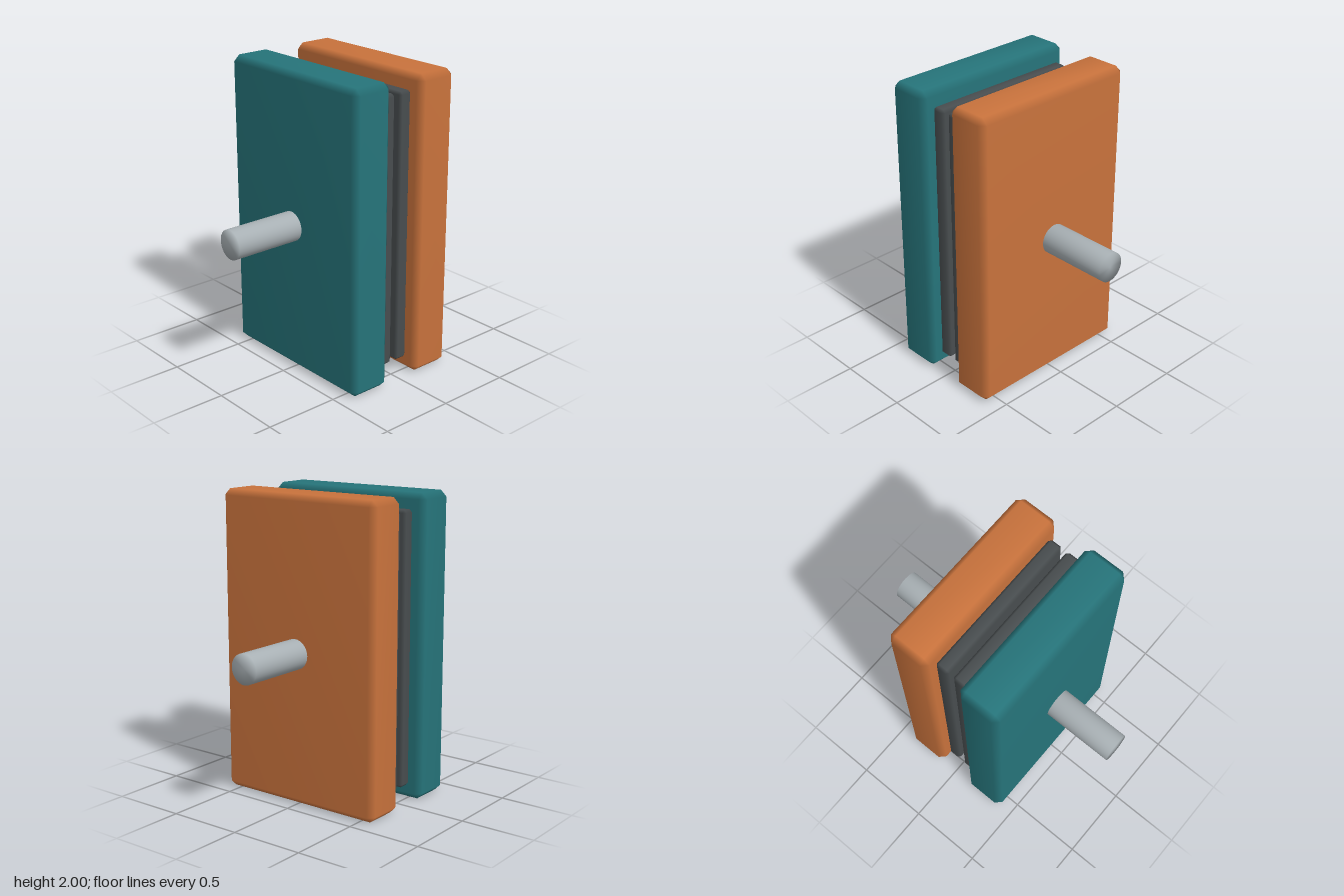
import * as THREE from 'three';
import { mergeVertices } from 'three/addons/utils/BufferGeometryUtils.js';
import { ConvexGeometry } from 'three/addons/geometries/ConvexGeometry.js';

// Weld corners so the shading runs softly across the edges
function softened(geometry) {
  geometry.deleteAttribute('normal');
  geometry.deleteAttribute('uv');
  const welded = mergeVertices(geometry, 1e-4);
  welded.computeVertexNormals();
  return welded;
}

// Box with a single chamfer on every edge
function chamferedBox(w, h, d, c) {
  const half = [w / 2, h / 2, d / 2];
  const points = [];
  for (const sx of [-1, 1]) for (const sy of [-1, 1]) for (const sz of [-1, 1]) {
    const sign = [sx, sy, sz];
    for (let axis = 0; axis < 3; axis++) {
      points.push(new THREE.Vector3(
        ...half.map((v, i) => sign[i] * (i === axis ? v : v - c))));
    }
  }
  return softened(new ConvexGeometry(points));
}

export function createModel() {
  const model = new THREE.Group();
  model.name = 'clampedPlates';

  const add = (name, geometry, color, x) => {
    const mesh = new THREE.Mesh(geometry, new THREE.MeshStandardMaterial({ color }));
    mesh.name = name;
    mesh.position.set(x, 1, 0);
    model.add(mesh);
  };

  const plate = chamferedBox(0.295, 2, 1.2, 0.04);
  const pad = chamferedBox(0.095, 1.8, 1.05, 0.018);
  const pin = softened(new THREE.CylinderGeometry(0.098, 0.098, 0.48, 32).rotateZ(Math.PI / 2));

  // Outer plate, inner pad and pin on each side
  for (const [side, s, color] of [['left', 1, 0xc8723c], ['right', -1, 0x26747a]]) {
    add(side + 'Plate', plate, color, s * 0.2625);
    add(side + 'Pad', pad, 0x484d4f, s * 0.0655);
    add(side + 'Pin', pin, 0xa8b0b4, s * 0.649);
  }

  // Thin sheet between the pads
  add('middleSheet', new THREE.BoxGeometry(0.016, 1, 0.7), 0xc8963c, 0);

  return model;
}
